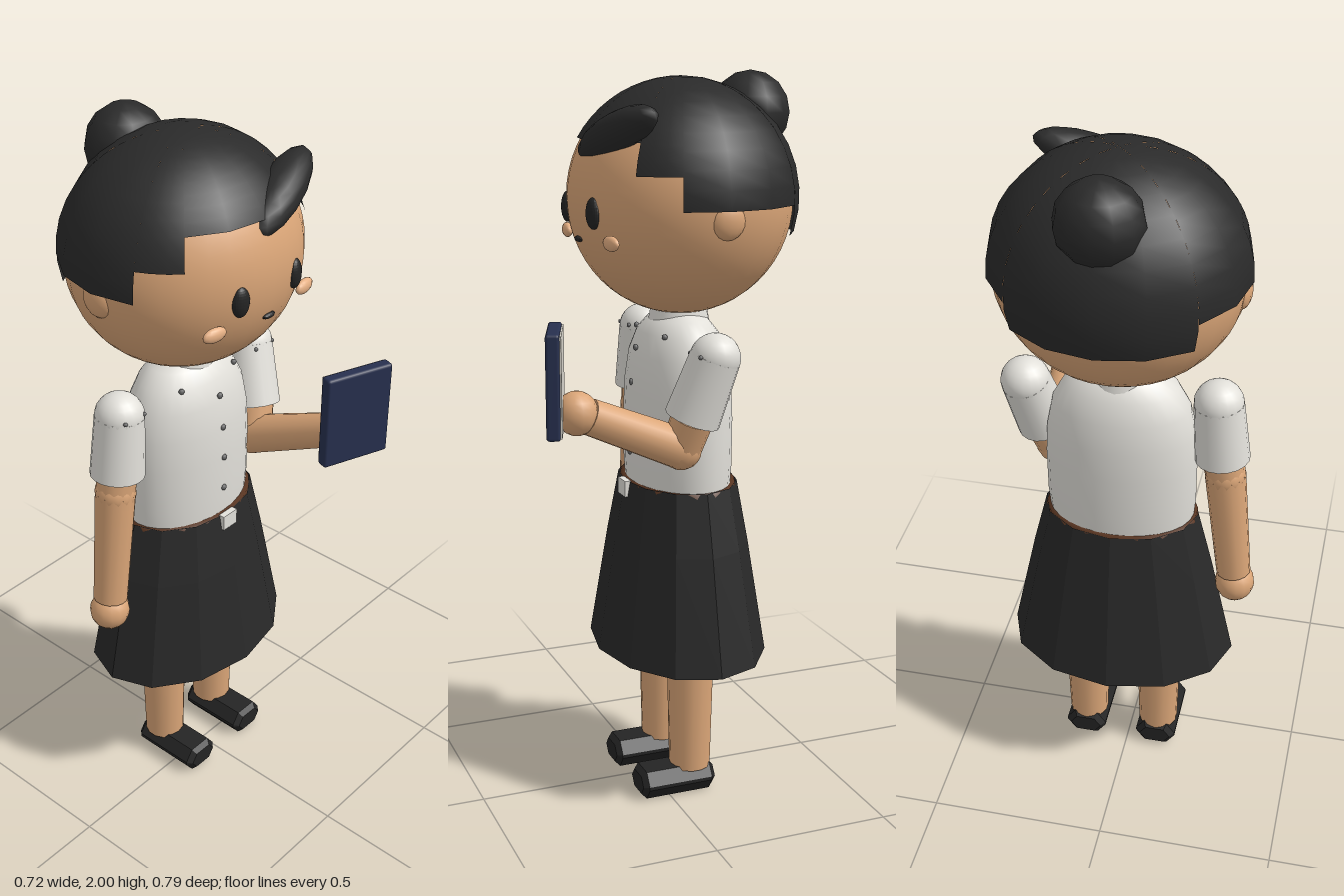
import * as THREE from 'three';
import { RoundedBoxGeometry } from 'three/addons/geometries/RoundedBoxGeometry.js';

const mat = (name, color, side = THREE.FrontSide) => {
  const m = new THREE.MeshStandardMaterial({ color, side });
  m.name = name;
  return m;
};

export function createModel() {
  const skin = mat('skin', 0xdba678);
  const blush = mat('blush', 0xe6b084);
  const black = mat('hair black', 0x2a2a2a, THREE.DoubleSide);
  const skirtMat = mat('skirt charcoal', 0x292929, THREE.DoubleSide);
  skirtMat.flatShading = true;
  const shoeMat = mat('shoe black', 0x242424);
  shoeMat.flatShading = true;
  const white = mat('shirt white', 0xe2e0da, THREE.DoubleSide);
  const grey = mat('button grey', 0x6a6a6a);
  const navy = mat('cover navy', 0x27304f);
  const paper = mat('paper', 0xd6d3ca);
  const brown = mat('belt brown', 0x5a3622);

  const root = new THREE.Group();
  const CX = 0.02, CZ = -0.08; // body axis

  const add = (name, geo, material, pos = [0, 0, 0], scale = [1, 1, 1], rot = [0, 0, 0]) => {
    const m = new THREE.Mesh(geo, material);
    m.name = name;
    m.position.set(...pos);
    m.scale.set(...scale);
    m.rotation.set(...rot);
    root.add(m);
    return m;
  };
  const ball = (name, material, pos, scale, rot, seg = 14) =>
    add(name, new THREE.SphereGeometry(1, seg, Math.max(8, seg - 4)), material, pos, scale, rot);
  // tapered cylinder from a to b
  const limb = (name, material, a, b, ra, rb, sides = 14) => {
    const p = new THREE.Vector3(...a), q = new THREE.Vector3(...b);
    const d = q.clone().sub(p);
    const m = add(name, new THREE.CylinderGeometry(rb, ra, d.length(), sides), material);
    m.position.copy(p).add(q).multiplyScalar(0.5);
    m.quaternion.setFromUnitVectors(new THREE.Vector3(0, 1, 0), d.normalize());
    return m;
  };
  const lathe = (name, material, points, sides, depth) =>
    add(name, new THREE.LatheGeometry(points.map(p => new THREE.Vector2(...p)), sides),
      material, [CX, 0, CZ + 0.003], [1, 1, depth]);

  // Head and face
  ball('head', skin, [CX, 1.67, CZ], [0.325, 0.31, 0.3], undefined, 32);
  for (const s of [-1, 1]) {
    ball('ear', skin, [CX + s * 0.308, 1.635, CZ - 0.005], [0.026, 0.05, 0.048]);
    ball('eye', shoeMat, [CX + s * 0.105, 1.645, 0.2], [0.025, 0.041, 0.017], [0, s * 0.3, 0], 20);
    ball('cheek', blush, [CX + s * 0.175, 1.575, 0.178], [0.037, 0.02, 0.014], [0, s * 0.15, 0]);
  }
  ball('mouth', shoeMat, [CX, 1.57, 0.204], [0.022, 0.008, 0.01]);

  // Hair cap: wedges of one shell, each ending at its own hairline.
  // Angles are in sixteenths of a turn, starting at the right side.
  const wedges = [[2, 4, 1.825], [1, 1, 1.745], [6, 1, 1.745], [7, 3, 1.66], [14, 3, 1.66], [10, 4, 1.58]];
  for (const [start, count, y] of wedges) {
    const step = Math.PI / 8;
    const theta = Math.acos((y - 1.67) / 0.316);
    add('hairCap', new THREE.SphereGeometry(1, count, 10, start * step, count * step, 0, theta),
      black, [CX, 1.67, CZ - 0.004], [0.336, 0.316, 0.314]);
  }
  ball('hairBun', black, [0.023, 1.89, -0.283], [0.112, 0.11, 0.105], undefined, 12);
  ball('fringe', black, [0.135, 1.845, 0.138], [0.163, 0.052, 0.06], [0, 0.28, 0.36], 14);

  // Shirt
  lathe('shirt', white, [[0.2, 0.87], [0.207, 0.95], [0.208, 1.08], [0.203, 1.17], [0.187, 1.25],
    [0.155, 1.31], [0.115, 1.345], [0.07, 1.365]], 28, 0.67);
  limb('collar', white, [CX, 1.33, CZ], [CX, 1.385, CZ], 0.085, 0.075, 20);
  [[1.27, 0.046], [1.175, 0.058], [1.08, 0.063], [0.98, 0.063]].forEach(([y, z]) =>
    ball('button', grey, [CX, y, z], [0.009, 0.009, 0.007], undefined, 8));
  for (const s of [-1, 1])
    ball('collarStud', grey, [CX + s * 0.105, 1.312, 0.003], [0.008, 0.008, 0.008], undefined, 8);

  // Belt and skirt
  lathe('belt', brown, [[0.213, 0.865], [0.213, 0.898], [0.19, 0.898]], 18, 0.71);
  add('buckle', new THREE.BoxGeometry(0.055, 0.045, 0.018), white, [CX, 0.88, 0.079]);
  lathe('skirt', skirtMat, [[0.327, 0.412], [0.258, 0.73], [0.216, 0.9]], 12, 0.718);

  // Legs and shoes
  const sole = new THREE.Shape([[-0.035, 0], [0.035, 0], [0.06, 0.035], [0.06, 0.045], [0.035, 0.08],
    [-0.035, 0.08], [-0.06, 0.045], [-0.06, 0.035]].map(p => new THREE.Vector2(...p)));
  const shoeGeo = new THREE.ExtrudeGeometry(sole, { depth: 0.19, bevelEnabled: true, bevelSegments: 1,
    bevelThickness: 0.014, bevelSize: 0.014, bevelOffset: -0.014 });
  for (const s of [-1, 1]) {
    const x = CX + s * 0.109;
    limb('thigh', skin, [x, 0.43, -0.075], [x, 0.8, -0.075], 0.07, 0.075);
    limb('shin', skin, [x, 0.07, -0.075], [x, 0.45, -0.075], 0.058, 0.067);
    add('shoe', shoeGeo, shoeMat, [x, 0, -0.121]);
  }

  // Arms: shoulder, sleeve end, elbow, wrist, hand
  const arm = (shoulder, cuff, elbow, wrist, hand) => {
    ball('shoulder', white, shoulder, [0.067, 0.065, 0.067], undefined, 18);
    limb('sleeve', white, shoulder, cuff, 0.067, 0.075, 18);
    limb('upperArm', skin, cuff, elbow, 0.057, 0.054);
    ball('elbow', skin, elbow, [0.057, 0.057, 0.057]);
    limb('forearm', skin, elbow, wrist, 0.056, 0.048);
    ball('hand', skin, hand, [0.056, 0.058, 0.056]);
    for (const k of [-1, 1])
      ball('sleeveStud', grey, [shoulder[0] + k * 0.035, shoulder[1] + 0.01, shoulder[2] + 0.056],
        [0.006, 0.006, 0.006], undefined, 8);
  };
  arm([-0.24, 1.28, -0.075], [-0.255, 1.105, -0.075], [-0.265, 1.05, -0.075],
    [-0.3, 0.71, -0.075], [-0.305, 0.67, -0.075]);
  arm([0.282, 1.28, -0.075], [0.25, 1.115, -0.025], [0.223, 1.03, -0.005],
    [0.245, 1.145, 0.26], [0.25, 1.157, 0.293]);

  // Book held in the left hand
  const book = new THREE.Group();
  book.name = 'book';
  const cover = new THREE.Mesh(new RoundedBoxGeometry(0.2, 0.27, 0.036, 2, 0.008), navy);
  cover.name = 'bookCover';
  const page = new THREE.Mesh(new THREE.BoxGeometry(0.188, 0.258, 0.008), paper);
  page.name = 'bookPage';
  page.position.z = -0.018;
  book.add(cover, page);
  book.position.set(0.225, 1.24, 0.343);
  book.rotation.y = -0.35;
  root.add(book);

  return root;
}
